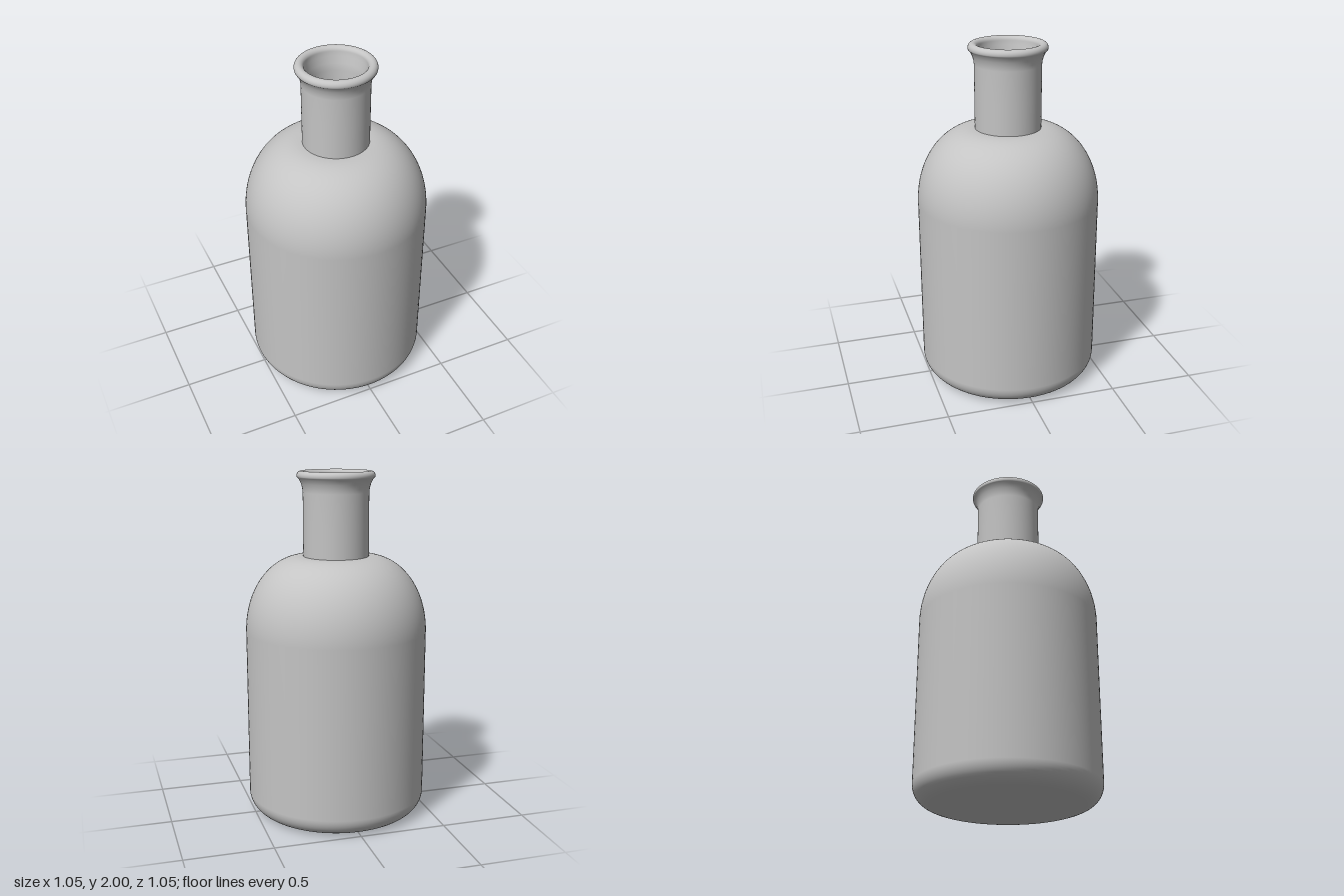
import * as THREE from 'three';

const SEGMENTS = 96;

// Points along a quarter or partial ellipse, angles in degrees
function arc(cx, cy, rx, ry, from, to, steps = 16) {
  return Array.from({ length: steps + 1 }, (_, i) => {
    const a = THREE.MathUtils.degToRad(from + ((to - from) * i) / steps);
    return [cx + rx * Math.cos(a), cy + ry * Math.sin(a)];
  });
}

export function createModel() {
  const bottle = new THREE.Group();
  bottle.name = 'bottle';
  const glaze = new THREE.MeshStandardMaterial({ color: 0xc4c4c4 });
  glaze.name = 'grey glaze';

  // Each profile is turned on its own so edges between parts stay crisp
  function turn(name, profile) {
    const points = profile.map(([x, y]) => new THREE.Vector2(x, y));
    const mesh = new THREE.Mesh(new THREE.LatheGeometry(points, SEGMENTS), glaze);
    mesh.name = name;
    bottle.add(mesh);
  }

  // Flat underside
  turn('base', [[0, 0], [0.415, 0]]);

  // Rounded foot, straight wall and domed shoulder
  turn('body', [
    ...arc(0.415, 0.11, 0.108, 0.11, -90, 0, 12),
    ...arc(0.2, 1.09, 0.323, 0.43, 0, 90, 28),
    [0.185, 1.52],
  ]);

  // Straight neck flaring into a rolled lip that turns into the mouth
  turn('neck', [
    [0.188, 1.51], [0.188, 1.7], [0.188, 1.88],
    [0.191, 1.905], [0.198, 1.93], [0.209, 1.953],
    ...arc(0.196, 1.974, 0.026, 0.026, -25, 180, 18),
    [0.167, 1.95], [0.158, 1.91], [0.152, 1.87], [0.152, 1.7], [0.152, 1.49],
  ]);

  // Hollow inside, following the outer wall
  turn('inner wall', [
    [0.152, 1.49],
    ...arc(0.18, 1.09, 0.305, 0.4, 90, 0, 20),
    ...arc(0.405, 0.12, 0.08, 0.08, 0, -90, 8),
  ]);
  turn('inner floor', [[0.405, 0.04], [0, 0.04]]);

  return bottle;
}
